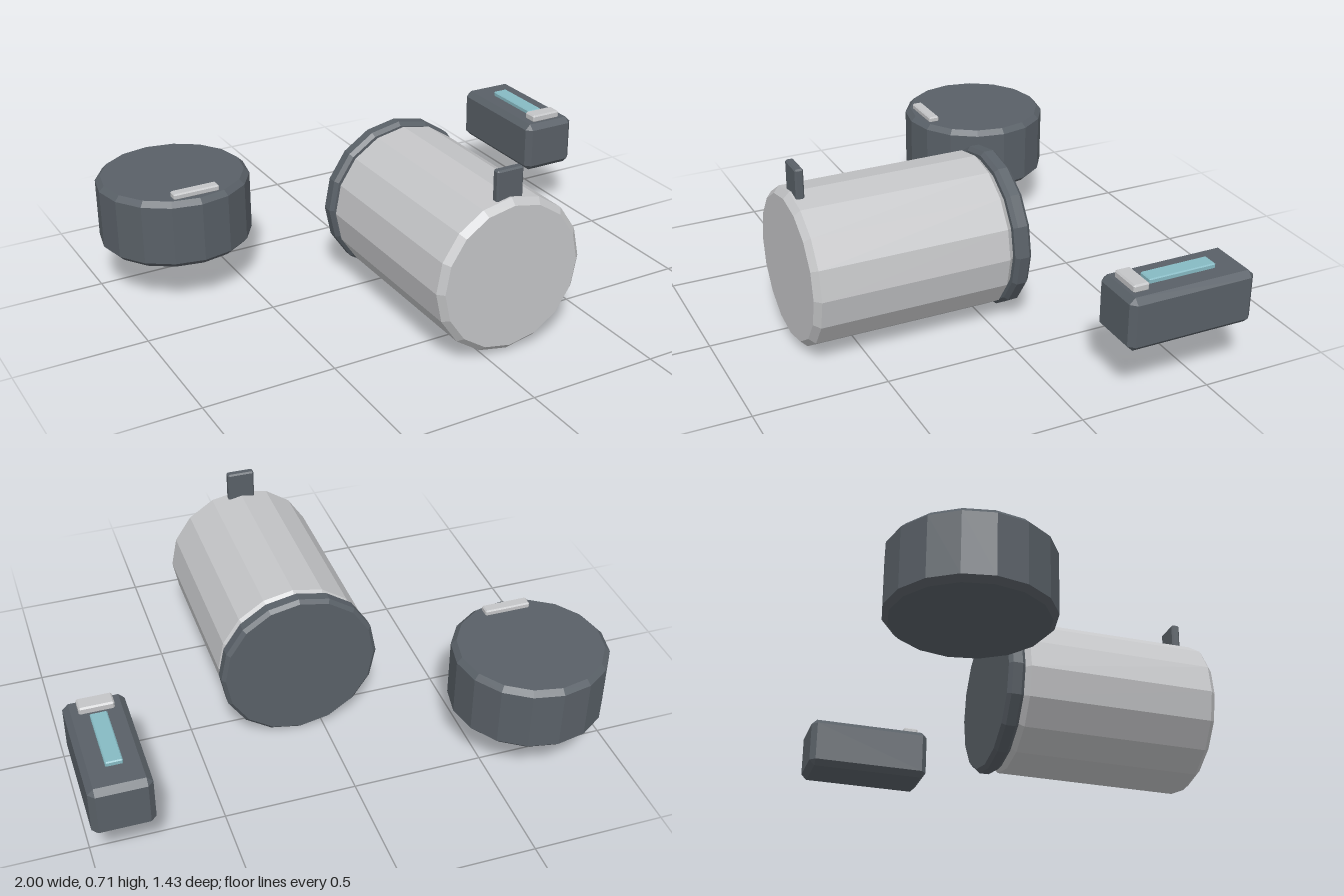
import * as THREE from 'three';
import { ConvexGeometry } from 'three/addons/geometries/ConvexGeometry.js';

const mat = (name, color) => {
  const m = new THREE.MeshStandardMaterial({ color });
  m.name = name;
  return m;
};

// Sixteen-sided faceted cylinder with chamfered rims, from y0 to y1
function chamferDrum(r, y0, y1, c) {
  const profile = [[0, y0], [r - c, y0], [r, y0 + c], [r, y1 - c], [r - c, y1], [0, y1]]
    .map(([x, y]) => new THREE.Vector2(x, y));
  const g = new THREE.LatheGeometry(profile, 16).toNonIndexed();
  g.computeVertexNormals();
  return g;
}

// Box with every edge chamfered, given by its limits on each axis
function chamferBox([x0, x1], [y0, y1], [z0, z1], c) {
  const half = [(x1 - x0) / 2, (y1 - y0) / 2, (z1 - z0) / 2];
  const points = [];
  for (const sx of [-1, 1]) for (const sy of [-1, 1]) for (const sz of [-1, 1]) {
    for (let axis = 0; axis < 3; axis++) {
      const h = half.map((v, i) => (i === axis ? v : v - c));
      points.push(new THREE.Vector3(sx * h[0], sy * h[1], sz * h[2]));
    }
  }
  const g = new ConvexGeometry(points);
  g.translate((x0 + x1) / 2, (y0 + y1) / 2, (z0 + z1) / 2);
  return g;
}

export function createModel() {
  const silver = mat('silver', 0xc4c5c7);
  const slate = mat('slate', 0x596067);
  const teal = mat('teal', 0x86bac3);

  const model = new THREE.Group();
  model.name = 'model';
  const add = (parent, name, geometry, material) => {
    const mesh = new THREE.Mesh(geometry, material);
    mesh.name = name;
    parent.add(mesh);
    return mesh;
  };

  // Canister lying along z, with a dark rear cap and an upright tab
  const canister = new THREE.Group();
  canister.name = 'canister';
  const body = add(canister, 'canisterBody', chamferDrum(0.297, -0.06, 0.715, 0.023), silver);
  const cap = add(canister, 'rearCap', chamferDrum(0.306, -0.125, -0.06, 0.014), slate);
  for (const part of [body, cap]) {
    part.rotation.x = Math.PI / 2;
    part.position.set(0.091, 0.307, 0);
  }
  add(canister, 'canisterTab',
    chamferBox([0.037, 0.144], [0.585, 0.707], [0.652, 0.684], 0.006), slate);

  // Round tin standing upright, with a small label plate near its front rim
  const tin = new THREE.Group();
  tin.name = 'roundTin';
  const tinBody = add(tin, 'tinBody', chamferDrum(0.293, 0.178, 0.446, 0.02), slate);
  tinBody.position.set(-0.707, 0, -0.422);
  add(tin, 'tinPlate',
    chamferBox([-0.798, -0.618], [0.443, 0.467], [-0.217, -0.174], 0.005), silver);

  // Small case with a teal strip and a front catch on its top
  const smallCase = new THREE.Group();
  smallCase.name = 'smallCase';
  add(smallCase, 'caseBody',
    chamferBox([0.775, 1.0], [0.21, 0.415], [-0.671, -0.173], 0.022), slate);
  add(smallCase, 'caseStrip',
    chamferBox([0.855, 0.917], [0.41, 0.432], [-0.556, -0.289], 0.004), teal);
  add(smallCase, 'caseCatch',
    chamferBox([0.822, 0.951], [0.412, 0.443], [-0.268, -0.206], 0.006), silver);

  model.add(canister, tin, smallCase);
  return model;
}
